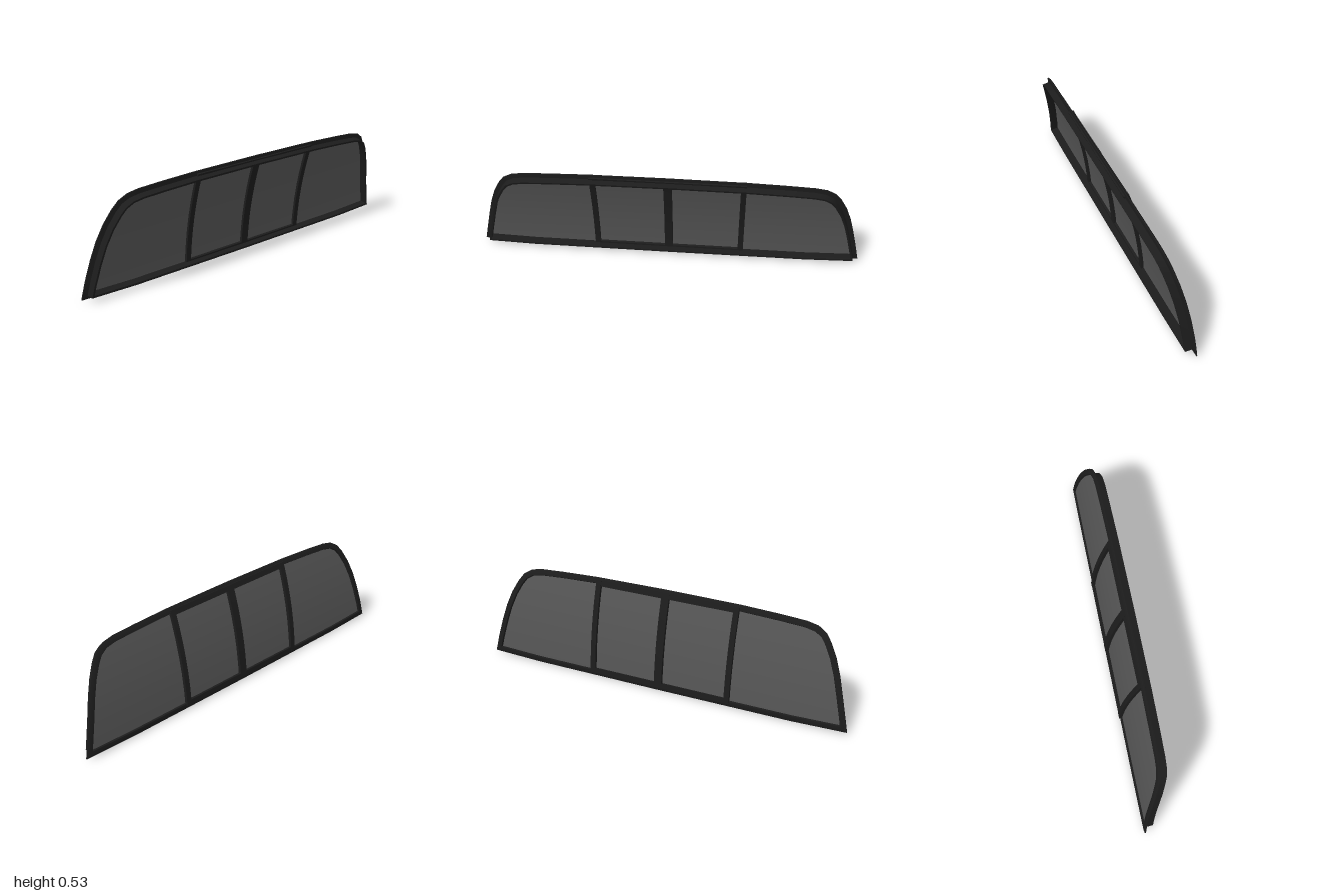
import * as THREE from 'three';
import { toCreasedNormals } from 'three/addons/utils/BufferGeometryUtils.js';

const frameMat = new THREE.MeshStandardMaterial({ color: 0x1c1c1c, side: THREE.DoubleSide });
const glassMat = new THREE.MeshStandardMaterial({ color: 0x555555, side: THREE.DoubleSide });

// Curved window surface: x as a function of height; depth runs inward and slightly down
const surfaceX = (y) => -0.068 + 0.0486 * y + 0.3 * y * y;
const onSurface = (z, y, depth) => [surfaceX(y) + depth, y - 0.2 * depth, z];

// Half outline (z, y) from bottom centre to top centre, mirrored into a closed loop
const half = [
  [0, 0.001], [0.72, 0.003], [1, 0.012], [0.98, 0.1], [0.955, 0.2], [0.93, 0.29],
  [0.9, 0.37], [0.865, 0.435], [0.835, 0.475], [0.79, 0.502], [0.73, 0.513],
  [0.6, 0.52], [0.4, 0.527], [0, 0.53],
];
const outline = [...half, ...half.slice(1, -1).reverse().map(([z, y]) => [-z, y])];
const N = outline.length;

// Mitred inset of outline point i
function inset(i, d) {
  const [p, q, r] = [-1, 0, 1].map((k) => new THREE.Vector2(...outline[(i + k + N) % N]));
  const a = q.clone().sub(p).normalize();
  const b = r.clone().sub(q).normalize();
  const n = new THREE.Vector2(-a.y - b.y, a.x + b.x).normalize();
  const scale = d / Math.max(0.5, n.dot(new THREE.Vector2(-a.y, a.x)));
  return [q.x + n.x * scale, q.y + n.y * scale];
}

// Skin between equal rings of points
function loft(rings, { loop = false, ringClosed = true, caps = false } = {}) {
  const m = rings[0].length;
  const index = [];
  for (let i = 0; i < rings.length - (loop ? 0 : 1); i++) {
    const s = i * m;
    const t = ((i + 1) % rings.length) * m;
    for (let j = 0; j < m - (ringClosed ? 0 : 1); j++) {
      const k = (j + 1) % m;
      index.push(s + j, t + j, t + k, s + j, t + k, s + k);
    }
  }
  if (caps) {
    const e = (rings.length - 1) * m;
    for (let j = 1; j < m - 1; j++) index.push(0, j, j + 1, e, e + j + 1, e + j);
  }
  const geo = new THREE.BufferGeometry();
  geo.setAttribute('position', new THREE.Float32BufferAttribute(rings.flat(2), 3));
  geo.setIndex(index);
  geo.computeVertexNormals();
  return geo;
}

export function createModel() {
  const group = new THREE.Group();
  const add = (name, geo, mat) => {
    const mesh = new THREE.Mesh(geo, mat);
    mesh.name = name;
    group.add(mesh);
  };

  // Seal: thin outer lip with a flange standing inward, as [inset, depth]
  const profile = [
    [0, 0], [0.012, -0.005], [0.028, -0.004], [0.034, 0.01],
    [0.034, 0.046], [0.024, 0.046], [0.022, 0.012], [0, 0.005],
  ];
  const sealRings = outline.map((_, i) =>
    profile.map(([d, depth]) => onSurface(...inset(i, d), depth)));
  add('windowSeal', toCreasedNormals(loft(sealRings, { loop: true }), 0.6), frameMat);

  // Glass: one curved sheet, straight from side to side
  const rows = [];
  for (let i = 1; i < half.length - 1; i++) {
    const [z, y] = inset(i, 0.028);
    rows.push([onSurface(z, y, 0.005), onSurface(-z, y, 0.005)]);
  }
  add('glass', loft(rows, { ringClosed: false }), glassMat);

  // Bars that follow the curve of the glass
  function bar(name, z, width, y0, y1, front, back, steps) {
    const rings = [];
    const w = width / 2;
    for (let i = 0; i <= steps; i++) {
      const y = y0 + ((y1 - y0) * i) / steps;
      rings.push([[w, front], [-w, front], [-w, back], [w, back]]
        .map(([dz, depth]) => onSurface(z + dz, y, depth)));
    }
    add(name, toCreasedNormals(loft(rings, { caps: true }), 0.6), frameMat);
  }
  bar('leftDivider', 0.38, 0.028, 0.018, 0.515, -0.011, 0.018, 10);
  bar('rightDivider', -0.38, 0.028, 0.018, 0.515, -0.011, 0.018, 10);
  bar('centreDivider', 0, 0.042, 0.018, 0.515, -0.011, 0.018, 10);
  bar('lowerSlideRail', 0, 0.76, 0.018, 0.044, -0.01, 0.018, 1);
  bar('upperSlideRail', 0, 0.76, 0.488, 0.515, -0.01, 0.018, 1);

  return group;
}
